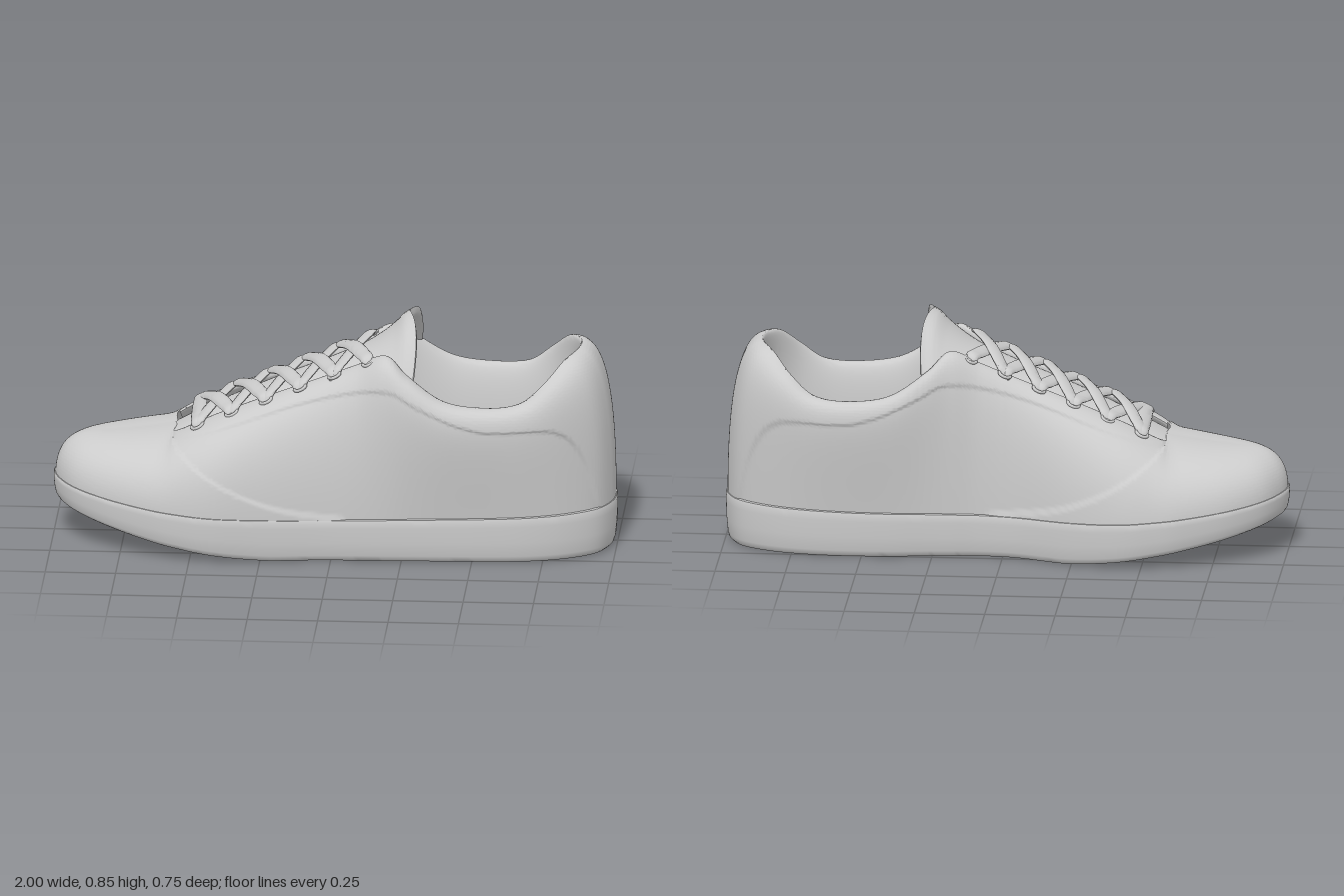
import * as THREE from 'three';
import { toCreasedNormals } from 'three/addons/utils/BufferGeometryUtils.js';

const V = (x, y, z) => new THREE.Vector3(x, y, z);
const material = new THREE.MeshStandardMaterial({ color: 0xcccccc, side: THREE.DoubleSide });

// Stations from toe to heel. Sole edge: x, half widths on -z and +z, side bulges on -z and +z
const EDGE = [
  [-0.996, 0, 0, 0, 0], [-0.977, 0.092, 0.087, 0, 0], [-0.915, 0.193, 0.178, 0, 0], [-0.8, 0.28, 0.26, -0.004, 0],
  [-0.65, 0.342, 0.327, -0.015, 0], [-0.55, 0.364, 0.353, -0.025, 0], [-0.42, 0.371, 0.367, -0.03, 0],
  [-0.25, 0.33, 0.347, -0.02, 0], [-0.05, 0.255, 0.322, 0, 0.005], [0.08, 0.24, 0.316, 0.015, 0.02],
  [0.18, 0.248, 0.314, 0.04, 0.05], [0.27, 0.257, 0.311, 0.055, 0.08], [0.4, 0.273, 0.307, 0.075, 0.09],
  [0.55, 0.279, 0.302, 0.08, 0.085], [0.7, 0.267, 0.287, 0.07, 0.07], [0.83, 0.233, 0.248, 0.05, 0.05],
  [0.935, 0.17, 0.18, 0.03, 0.03], [0.983, 0.086, 0.09, 0.01, 0.01], [0.994, 0, 0, 0, 0],
];
// Top line (toe ridge, throat edge, collar): x, y, half width on -z, half width on +z
const TOP = [
  [-0.84, 0.372, 0, 0], [-0.82, 0.374, 0, 0], [-0.78, 0.378, 0, 0], [-0.68, 0.39, 0, 0],
  [-0.57, 0.407, 0, 0], [-0.56, 0.412, 0.115, 0.115], [-0.42, 0.48, 0.13, 0.13], [-0.24, 0.555, 0.13, 0.14],
  [-0.05, 0.63, 0.13, 0.15], [0.08, 0.685, 0.14, 0.165], [0.19, 0.735, 0.165, 0.205], [0.27, 0.675, 0.23, 0.25],
  [0.4, 0.592, 0.262, 0.278], [0.55, 0.57, 0.265, 0.275], [0.67, 0.585, 0.25, 0.26], [0.755, 0.65, 0.218, 0.228],
  [0.82, 0.713, 0.15, 0.158], [0.86, 0.73, 0.074, 0.078], [0.873, 0.731, 0, 0],
];

// Closed curve: toe, +z side, heel, -z side
function loopCurve(rows, point) {
  const pts = rows.map((r) => point(r, 1));
  for (let i = rows.length - 2; i > 0; i--) pts.push(point(rows[i], -1));
  return new THREE.CatmullRomCurve3(pts, true, 'catmullrom', 0.5);
}
const edgeCurve = loopCurve(EDGE, (r, s) => (s > 0 ? V(r[0], r[4], r[2]) : V(r[0], r[3], -r[1])));
const topCurve = loopCurve(TOP, (r, s) => V(r[0], r[1], s > 0 ? r[3] : -r[2]));
const soleTop = (x) => 0.155 + (x < 0 ? 0.07 * x * x : 0.022 * x);
const soleBottom = (x) => (x < -0.2 ? 0.14 * ((-0.2 - x) / 0.8) ** 1.4 : 0);

// Surface through rows of points
function loft(name, rows, closeSection = false, crease = 0.7) {
  const n = rows[0].length, pos = [], idx = [];
  rows.forEach((r) => r.forEach((p) => pos.push(p.x, p.y, p.z)));
  for (let i = 0; i < rows.length - 1; i++) {
    for (let j = 0; j < (closeSection ? n : n - 1); j++) {
      const k = (j + 1) % n, a = i * n + j, b = a + n, c = (i + 1) * n + k, d = i * n + k;
      idx.push(a, b, d, b, c, d);
    }
  }
  const g = new THREE.BufferGeometry();
  g.setAttribute('position', new THREE.Float32BufferAttribute(pos, 3));
  g.setIndex(idx);
  const mesh = new THREE.Mesh(toCreasedNormals(g, crease), material);
  mesh.name = name;
  return mesh;
}

// Sole edge, outward direction and side curve at loop position t
function station(t) {
  const edge = edgeCurve.getPoint(t % 1), top = topCurve.getPoint(t % 1);
  const bulge = edge.y;
  const a = edgeCurve.getPoint((t + 0.999) % 1), b = edgeCurve.getPoint((t + 0.001) % 1);
  const out = V(a.z - b.z, 0, b.x - a.x).normalize();
  top.z = t % 1 < 0.5 ? Math.max(0, top.z) : Math.min(0, top.z);
  edge.y = soleTop(edge.x) - 0.012;
  const p1 = edge.clone().addScaledVector(out, bulge * 0.5);
  p1.y += 0.7 * (top.y - edge.y);
  const p2 = top.clone().lerp(edge, 0.6).addScaledVector(out, bulge);
  p2.y = top.y;
  return { edge, out, top, p2, side: new THREE.CubicBezierCurve3(edge, p1, p2, top) };
}

// Outline of the recessed side panel, in x and y
const spline = (list, n) => new THREE.SplineCurve(list.map((p) => new THREE.Vector2(...p))).getPoints(n);
const panel = [
  ...spline([[-0.58, 0.405], [-0.45, 0.31], [-0.3, 0.23], [-0.15, 0.18], [0.05, 0.15]], 16),
  new THREE.Vector2(0.05, 0.05), new THREE.Vector2(0.99, 0.05),
  ...spline([[0.95, 0.18], [0.91, 0.34], [0.86, 0.44], [0.8, 0.488], [0.72, 0.5], [0.55, 0.5],
    [0.42, 0.535], [0.3, 0.59], [0.18, 0.635], [-0.1, 0.57], [-0.35, 0.483], [-0.58, 0.405]], 40),
];
function panelDepth(x, y) {
  let inside = false, dist = 1;
  panel.forEach((a, i) => {
    const b = panel[(i + 1) % panel.length];
    if (a.y > y !== b.y > y && x < ((b.x - a.x) * (y - a.y)) / (b.y - a.y) + a.x) inside = !inside;
    const dx = b.x - a.x, dy = b.y - a.y;
    const k = THREE.MathUtils.clamp(((x - a.x) * dx + (y - a.y) * dy) / (dx * dx + dy * dy || 1), 0, 1);
    dist = Math.min(dist, Math.hypot(x - a.x - k * dx, y - a.y - k * dy));
  });
  return inside ? 0.007 * THREE.MathUtils.smoothstep(dist, 0, 0.01) : 0;
}

function makeUpper() {
  const rows = [], N = 600, M = 80;
  for (let i = 0; i <= N; i++) {
    const { out, side } = station(i / N), row = [];
    for (let j = 0; j <= M; j++) {
      const p = side.getPoint(j / M), d = side.getTangent(j / M);
      const normal = out.clone().multiplyScalar(d.y).add(V(0, -d.dot(out), 0)).normalize();
      row.push(p.addScaledVector(normal, -panelDepth(p.x, p.y)));
    }
    rows.push(row);
  }
  return loft('upper', rows, false, 1);
}

// Inside of the shoe, rolling over the collar edge
function makeLining() {
  const rows = [], N = 200;
  for (let i = 0; i <= N; i++) {
    const { edge, out, top, p2 } = station((5 + (26 * i) / N) / 36);
    const foot = edge.clone().addScaledVector(out, -0.065);
    const q1 = top.clone().addScaledVector(top.clone().sub(p2), 0.4);
    const q2 = edge.clone().addScaledVector(out, -0.08).setY(edge.y + 0.65 * (top.y - edge.y));
    rows.push(new THREE.CubicBezierCurve3(top, q1, q2, foot).getPoints(20));
  }
  return loft('lining', rows, false, 1);
}

function makeSole() {
  const profile = [[-0.024, 0], [-0.014, 0.015], [-0.006, 0.06], [-0.001, 0.15], [0.004, 0.45], [0.006, 0.8], [0.006, 0.93], [0.003, 0.985], [-0.008, 1]];
  const rows = [], N = 240;
  for (let i = 0; i <= N; i++) {
    const { edge, out } = station(i / N);
    const ring = profile.map(([offset, f]) => {
      const p = edge.clone().addScaledVector(out, offset);
      p.y = THREE.MathUtils.lerp(soleBottom(p.x), soleTop(p.x), f);
      return p;
    });
    const x = edge.x * 0.93;
    rows.push([V(x, soleBottom(x), 0), ...ring, V(x, soleTop(x), 0)]);
  }
  return loft('sole', rows);
}

// Arched tongue: x, middle height, half width, drop at the sides
const tongueCurves = [
  [-0.62, 0.375, 0.1, 0.02], [-0.55, 0.413, 0.13, 0.02], [-0.4, 0.492, 0.15, 0.045], [-0.2, 0.582, 0.165, 0.055],
  [0, 0.664, 0.175, 0.06], [0.12, 0.722, 0.19, 0.07], [0.2, 0.785, 0.215, 0.11], [0.24, 0.83, 0.235, 0.155],
  [0.262, 0.847, 0.243, 0.18],
];
const tongueMid = new THREE.CatmullRomCurve3(tongueCurves.map((r) => V(r[0], r[1], 0)));
const tongueSide = new THREE.CatmullRomCurve3(tongueCurves.map((r) => V(r[2], r[3], 0)));
function makeTongue() {
  const rows = [], N = 56, M = 24;
  for (let i = 0; i <= N; i++) {
    const t = i / N, m = tongueMid.getPoint(t), s = tongueSide.getPoint(t);
    const thick = 0.03 * Math.sqrt(Math.max(0, 1 - t ** 24)), row = [];
    for (let j = 0; j < 2 * M; j++) {
      const a = (j / M) * Math.PI, c = Math.cos(a);
      const lean = 0.034 * t ** 6 * Math.sin(2.2 * Math.abs(c));
      row.push(V(m.x + lean + (Math.sin(a) < 0 ? thick * 0.5 : 0), m.y - s.y * Math.abs(c) ** 2.4 + (Math.sin(a) - 1) * thick * 0.5, 0.015 + s.x * c));
    }
    rows.push(row);
  }
  return loft('tongue', rows, true, 1);
}

// Eyelet positions on both sides of the throat
const throatY = (x) => 0.467 + (x + 0.45) * 0.42;
const eyelet = (i, s) => {
  const x = -0.49 + 0.122 * i + (s > 0 ? 0.008 : 0);
  return V(x, throatY(x) - 0.003, s > 0 ? 0.17 + 0.006 * i : -0.165 + 0.002 * i);
};

// Flat lace from one eyelet over the tongue to another
function makeLace(a, b, lift) {
  const at = (k, h) => { const p = a.clone().lerp(b, k); p.y = throatY(p.x) + h; return p; };
  const path = new THREE.CatmullRomCurve3([
    at(0, -0.02), at(0.04, 0.005), at(0.2, 0.011 + lift * 0.4), at(0.5, 0.014 + lift),
    at(0.8, 0.011 + lift * 0.4), at(0.96, 0.005), at(1, -0.02),
  ]);
  const rows = [], up = V(-0.39, 0.92, 0), across = b.clone().sub(a).normalize();
  const wide = across.clone().cross(up).normalize();
  for (let i = 0; i <= 40; i++) {
    const p = path.getPoint(i / 40), high = wide.clone().cross(path.getTangent(i / 40)).normalize();
    const w = 0.015 + 0.013 * Math.max(0, Math.sin((Math.PI * i) / 40)) ** 0.5;
    rows.push(Array.from({ length: 12 }, (_, j) => {
      const t = (j / 12) * Math.PI * 2;
      return p.clone().addScaledVector(wide, w * Math.cos(t)).addScaledVector(high, 0.01 * Math.sin(t));
    }));
  }
  return loft('lace', rows, true, 1.2);
}

function makeLaces() {
  const group = new THREE.Group();
  group.name = 'laces';
  group.add(makeLace(eyelet(0, -1), eyelet(0, 1), 0));
  for (let i = 0; i < 5; i++) {
    group.add(makeLace(eyelet(i, 1), eyelet(i + 1, -1), 0.002));
    group.add(makeLace(eyelet(i, -1), eyelet(i + 1, 1), 0.015));
  }
  const ring = new THREE.TorusGeometry(0.021, 0.006, 8, 20);
  for (const s of [-1, 1]) {
    for (let i = 0; i < 6; i++) {
      const m = new THREE.Mesh(ring, material);
      m.name = 'eyelet';
      m.position.copy(eyelet(i, s));
      m.quaternion.setFromUnitVectors(V(0, 0, 1), V(-0.4, 0.9, 0.15 * s).normalize());
      group.add(m);
    }
  }
  return group;
}

export function createModel() {
  const shoe = new THREE.Group();
  shoe.name = 'shoe';
  shoe.add(makeSole(), makeUpper(), makeLining(), makeTongue(), makeLaces());
  return shoe;
}
